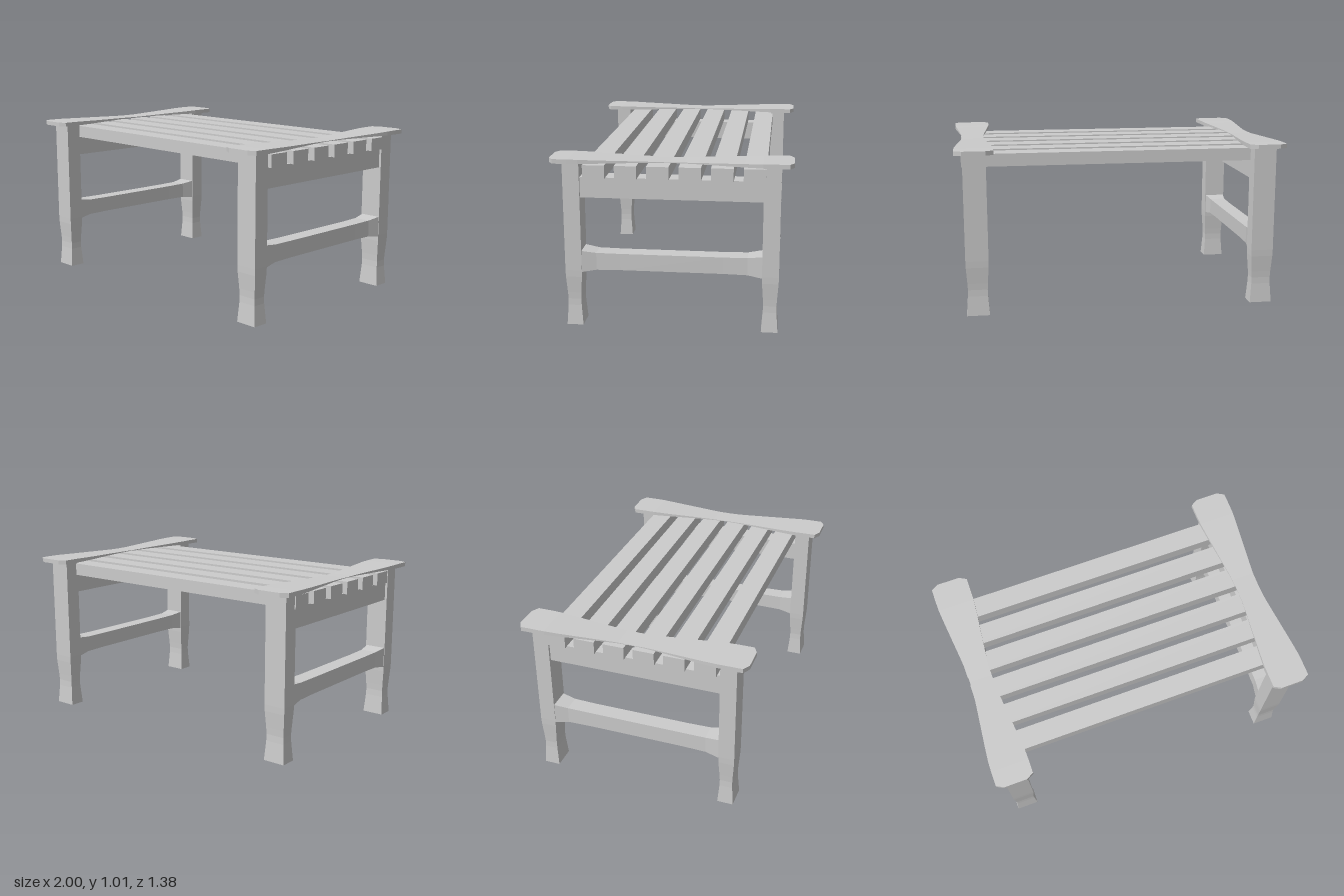
import * as THREE from 'three';

const material = new THREE.MeshStandardMaterial({ color: 0xcccccc, flatShading: true });

// Rectangular beam swept along 'y' or 'z'. Each station is
// [position, xMin, xMax, otherMin, otherMax], in ascending position.
function beam(name, axis, stations) {
  const n = stations.length - 1;
  const geometry = new THREE.BoxGeometry(1, 1, 1, 1, axis === 'y' ? n : 1, axis === 'z' ? n : 1);
  const p = geometry.attributes.position;
  for (let i = 0; i < p.count; i++) {
    const along = axis === 'y' ? p.getY(i) : p.getZ(i);
    const across = axis === 'y' ? p.getZ(i) : p.getY(i);
    const [t, x0, x1, c0, c1] = stations[Math.round((along + 0.5) * n)];
    const x = p.getX(i) < 0 ? x0 : x1;
    const c = across < 0 ? c0 : c1;
    if (axis === 'y') p.setXYZ(i, x, t, c);
    else p.setXYZ(i, x, c, t);
  }
  geometry.computeVertexNormals();
  const mesh = new THREE.Mesh(geometry, material);
  mesh.name = name;
  return mesh;
}

// Sorted [min, max] of a span, mirrored when s is -1
const span = (s, a, b) => (s > 0 ? [a, b] : [-b, -a]);

// Mirror half a list of [distance from centre, ...] stations to both ends
const bothEnds = (half) => [
  ...half.slice().reverse().map(([d, ...rest]) => [-d, ...rest]),
  ...half.filter(([d]) => d > 0),
];

export function createModel() {
  const group = new THREE.Group();
  group.name = 'slattedBench';

  for (const sx of [1, -1]) {
    const side = sx > 0 ? 'left' : 'right';

    // Legs, pinched above the foot
    for (const sz of [1, -1]) {
      const pinch = [
        [0, 0], [0.12, 0.009], [0.16, 0.01], [0.2, 0.008], [0.3, 0.001], [0.34, 0], [0.99, 0],
      ];
      group.add(beam(`${side}${sz > 0 ? 'Front' : 'Back'}Leg`, 'y', pinch.map(([y, d]) => [
        y, ...span(sx, 0.815 + d, 0.953 - d), ...span(sz, 0.525 + d, 0.622 - d),
      ])));
    }

    // Upper rail under the slats
    group.add(beam(`${side}UpperRail`, 'z', [-0.525, 0.525].map((z) => [
      z, ...span(sx, 0.825, 0.938), 0.78, 0.9,
    ])));

    // Lower stretcher, flared where it meets the legs
    group.add(beam(`${side}Stretcher`, 'z', bothEnds(
      [[0.3, 0], [0.44, 0.002], [0.527, 0.015]].map(([d, f]) => [
        d, ...span(sx, 0.835 - f, 0.935 + f), 0.345 - f, 0.445 + f,
      ]))));

    // Armrest: waisted in plan, thinning to the middle, clipped corners
    const arm = [
      [0, 0.815, 0.955, 0.999, 1.002], [0.08, 0.814, 0.956, 0.998, 1.003],
      [0.16, 0.807, 0.963, 0.997, 1.005], [0.42, 0.78, 0.99, 0.992, 1.011],
      [0.52, 0.771, 0.999, 0.99, 1.014], [0.58, 0.77, 1, 0.989, 1.015],
      [0.667, 0.77, 1, 0.989, 1.015], [0.692, 0.815, 0.955, 0.989, 1.015],
    ];
    group.add(beam(`${side}Armrest`, 'z', bothEnds(arm.map(([d, a, b, y0, y1]) => [
      d, ...span(sx, a, b), y0, y1,
    ]))));
  }

  // Seat slats
  for (let i = 0; i < 6; i++) {
    const slat = new THREE.Mesh(new THREE.BoxGeometry(1.92, 0.077, 0.127), material);
    slat.position.set(0, 0.9365, -0.475 + i * 0.183);
    slat.name = `seatSlat${i + 1}`;
    group.add(slat);
  }

  return group;
}
